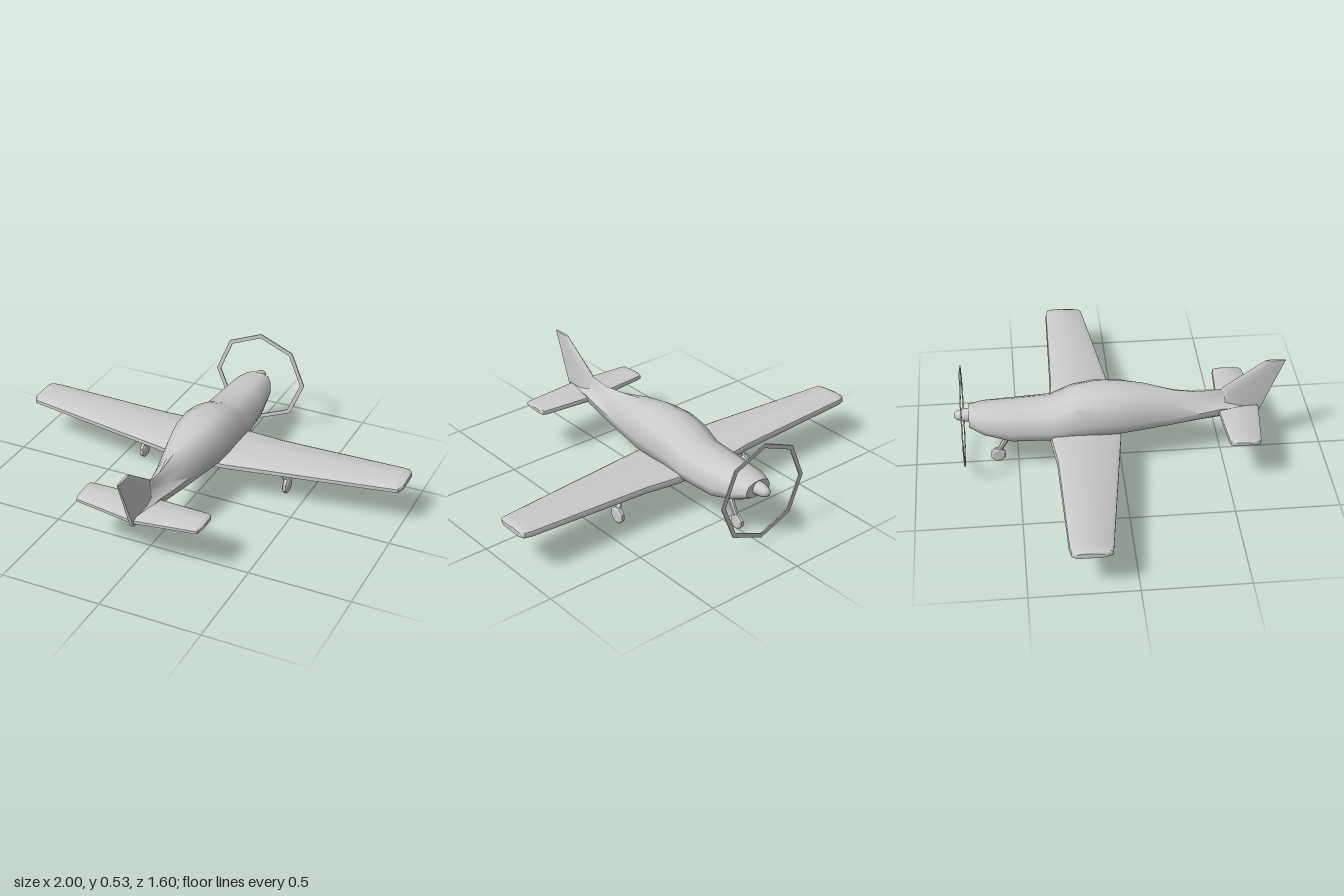
import * as THREE from 'three';
import { toCreasedNormals } from 'three/addons/utils/BufferGeometryUtils.js';

const grey = new THREE.MeshStandardMaterial({ color: 0xcccccc, side: THREE.DoubleSide });

// Skin a row of equal-length closed rings of [x, y, z], capped at both ends.
function loft(rings, crease = 0.6) {
  const n = rings[0].length, pos = rings.flat(2), idx = [];
  for (let r = 0; r < rings.length - 1; r++) {
    for (let i = 0; i < n; i++) {
      const a = r * n + i, b = r * n + (i + 1) % n;
      idx.push(a, b, a + n, b, b + n, a + n);
    }
  }
  const last = (rings.length - 1) * n;
  for (let i = 1; i < n - 1; i++) {
    idx.push(0, i + 1, i, last, last + i, last + i + 1);
  }
  // Turn the faces outward if the rings run the other way round.
  const at = (i) => new THREE.Vector3().fromArray(pos, i * 3);
  let volume = 0;
  for (let i = 0; i < idx.length; i += 3) {
    volume += at(idx[i]).dot(at(idx[i + 1]).cross(at(idx[i + 2])));
  }
  if (volume < 0) idx.reverse();
  const g = new THREE.BufferGeometry();
  g.setAttribute('position', new THREE.Float32BufferAttribute(pos, 3));
  g.setIndex(idx);
  return toCreasedNormals(g, crease);
}

function add(parent, name, geometry, x = 0, y = 0, z = 0) {
  const mesh = new THREE.Mesh(geometry, grey);
  mesh.name = name;
  mesh.position.set(x, y, z);
  parent.add(mesh);
  return mesh;
}

// Fuselage ring: boxy shoulders when s is high, a ridge when it is low.
function bodyRing([z, bottom, top, w, s]) {
  const half = [[0.45 * s, 0.97 - (1 - s) * 0.25], [0.86 * s, 0.84 - (1 - s) * 0.45],
    [1, 0.42], [0.9, 0.18], [0.5, 0.03]];
  const right = half.map(([u, v]) => [u * w, bottom + v * (top - bottom), z]);
  const left = right.map(([x, y]) => [-x, y, z]).reverse();
  return [[0, top, z], ...right, [0, bottom, z], ...left];
}

// Aerofoil ring at x, from leading edge z0 to trailing edge z1.
function foilRing([x, z0, z1, y0, y1]) {
  return [[0, 0.45], [0.02, 0.8], [0.08, 0.95], [0.4, 1], [0.94, 0.8], [1, 0.6],
    [1, 0.2], [0.94, 0.08], [0.4, 0], [0.06, 0.06], [0.015, 0.2]]
    .map(([s, t]) => [x, y0 + t * (y1 - y0), z0 + s * (z1 - z0)]);
}

// Full-span surface from half-span stations listed root to tip.
function span(stations) {
  const mirrored = stations.filter((s) => s[0] > 0).map(([x, ...rest]) => [-x, ...rest]).reverse();
  return loft([...mirrored, ...stations].map(foilRing), 0.7);
}

// Tapered leg between two points, with [width, depth] at each end.
function leg(a, b, [wa, da], [wb, db]) {
  const ring = ([x, y, z], w, d) => [0, 1, 2, 3, 4, 5, 6, 7].map((i) => {
    const t = (i + 0.5) * Math.PI / 4;
    return [x + w * Math.cos(t), y, z + d * Math.sin(t)];
  });
  return loft([ring(a, wa, da), ring(b, wb, db)]);
}

function wheel(radius, width) {
  const p = [[0, -0.5], [0.75, -0.5], [1, -0.28], [1, 0.28], [0.75, 0.5], [0, 0.5]]
    .map(([r, h]) => new THREE.Vector2(r * radius, h * width));
  const g = new THREE.LatheGeometry(p, 8).rotateX(0).rotateY(Math.PI / 8).rotateZ(Math.PI / 2);
  return toCreasedNormals(g, 0.3);
}

export function createModel() {
  const plane = new THREE.Group();
  plane.name = 'airplane';

  // Fuselage: z, bottom, top, half width, shoulder
  add(plane, 'fuselage', loft([
    [-0.73, 0.245, 0.325, 0.073, 0.95],
    [-0.66, 0.205, 0.335, 0.102, 0.95],
    [-0.53, 0.16, 0.343, 0.118, 0.95],
    [-0.33, 0.165, 0.35, 0.136, 0.92],
    [-0.23, 0.167, 0.395, 0.138, 0.97],
    [-0.12, 0.168, 0.412, 0.138, 1],
    [0, 0.17, 0.412, 0.132, 0.98],
    [0.12, 0.178, 0.395, 0.112, 0.95],
    [0.26, 0.19, 0.368, 0.088, 0.75],
    [0.38, 0.203, 0.35, 0.068, 0.5],
    [0.5, 0.212, 0.36, 0.05, 0.35],
    [0.67, 0.22, 0.29, 0.02, 0.4],
  ].map(bodyRing), 0.9));

  // Wing and tailplane: x, leading z, trailing z, bottom, top
  add(plane, 'wing', span([
    [0, -0.345, 0, 0.165, 0.222],
    [0.14, -0.345, -0.008, 0.167, 0.222],
    [0.32, -0.325, -0.032, 0.175, 0.227],
    [0.95, -0.312, -0.115, 0.2, 0.243],
    [0.985, -0.305, -0.12, 0.203, 0.243],
    [1, -0.285, -0.15, 0.21, 0.236],
  ]));
  add(plane, 'tailplane', span([
    [0, 0.475, 0.68, 0.23, 0.268],
    [0.29, 0.492, 0.645, 0.24, 0.273],
    [0.308, 0.497, 0.64, 0.242, 0.272],
    [0.317, 0.515, 0.6, 0.248, 0.266],
  ]));

  // Fin: y, leading z, trailing z, half thickness
  add(plane, 'fin', loft([
    [0.222, 0.48, 0.68, 0.024],
    [0.365, 0.495, 0.739, 0.017],
    [0.51, 0.7, 0.8, 0.007],
  ].map(([y, z0, z1, w]) => [[0, 0], [0.8, 0.12], [1, 0.4], [0.4, 1], [-0.4, 1], [-1, 0.4], [-0.8, 0.12]]
    .map(([u, s]) => [u * w, y, z0 + s * (z1 - z0)]))));

  // Spinner and the eight-sided propeller ring
  const cone = [[0.034, 0], [0.031, 0.03], [0.022, 0.06], [0.013, 0.07], [0, 0.073]]
    .map(([r, h]) => new THREE.Vector2(r, h));
  add(plane, 'spinner', new THREE.LatheGeometry(cone, 12).rotateX(-Math.PI / 2), 0, 0.288, -0.727);
  const octagon = (r) => [0, 1, 2, 3, 4, 5, 6, 7].map((i) =>
    new THREE.Vector2(r * Math.sin(i * Math.PI / 4), r * Math.cos(i * Math.PI / 4)));
  const ring = new THREE.Shape(octagon(0.248));
  ring.holes.push(new THREE.Path(octagon(0.226)));
  add(plane, 'propellerRing', new THREE.ExtrudeGeometry(ring, { depth: 0.006, bevelEnabled: false }),
    0, 0.283, -0.763);

  // Landing gear
  for (const side of [-1, 1]) {
    const gear = new THREE.Group();
    gear.name = side > 0 ? 'leftGear' : 'rightGear';
    add(gear, 'leg', leg([side * 0.335, 0.19, -0.165], [side * 0.395, 0.06, -0.203], [0.01, 0.024], [0.01, 0.014]));
    add(gear, 'wheel', wheel(0.043, 0.027), side * 0.395, 0.043, -0.203);
    plane.add(gear);
  }
  const noseGear = new THREE.Group();
  noseGear.name = 'noseGear';
  add(noseGear, 'leg', leg([0, 0.18, -0.53], [0, 0.055, -0.598], [0.016, 0.022], [0.011, 0.012]));
  add(noseGear, 'wheel', wheel(0.038, 0.027), 0, 0.042, -0.598);
  plane.add(noseGear);

  return plane;
}
